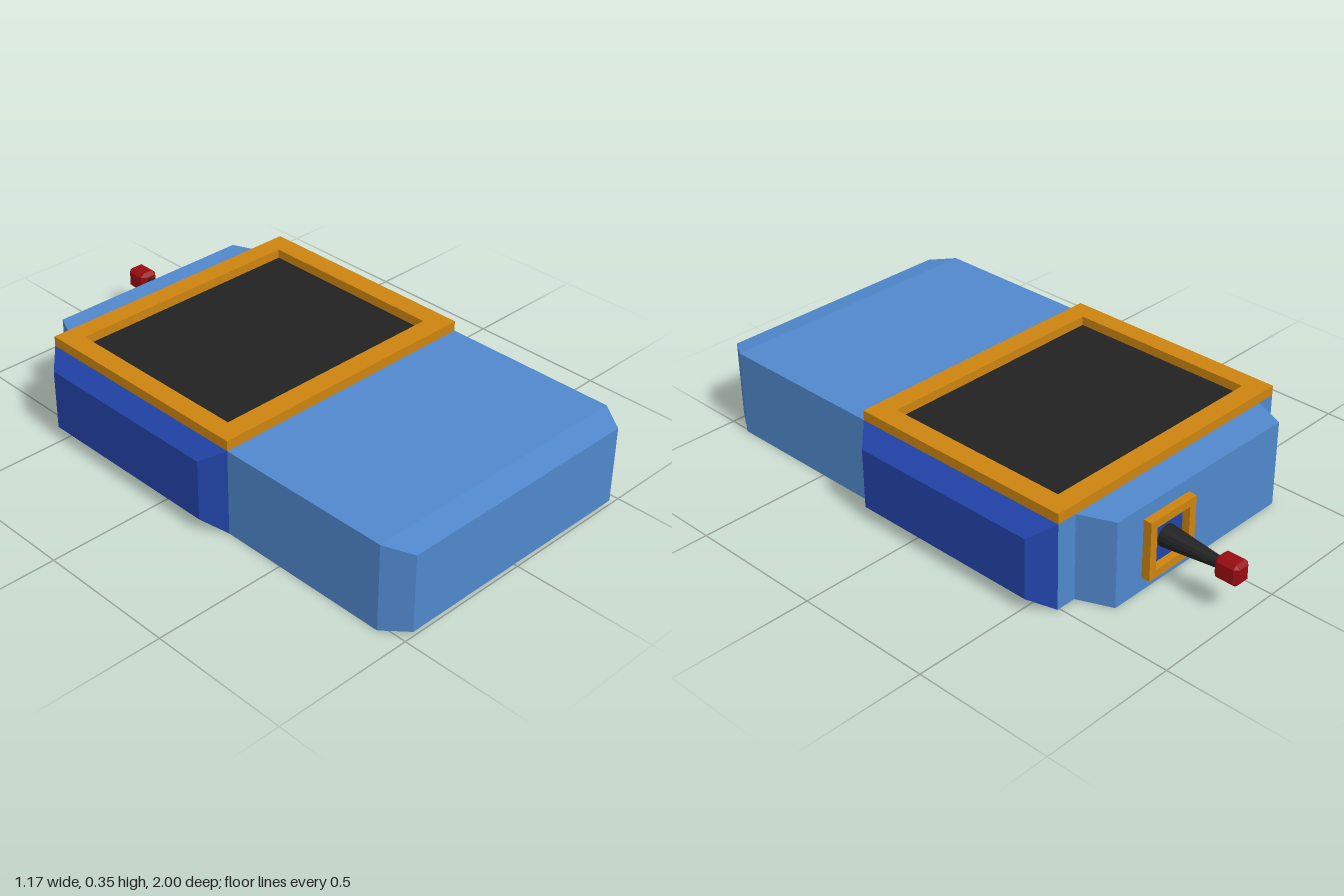
import * as THREE from 'three';
import { ConvexGeometry } from 'three/addons/geometries/ConvexGeometry.js';

const material = (name, color) => {
  const m = new THREE.MeshStandardMaterial({ color });
  m.name = name;
  return m;
};

// Four corners of a rectangle lying across the z axis or across the x axis
const acrossZ = (z, x0, x1, y0, y1) =>
  [[x0, y0], [x1, y0], [x1, y1], [x0, y1]].map(([x, y]) => new THREE.Vector3(x, y, z));
const acrossX = (x, z0, z1, y0, y1) =>
  [[z0, y0], [z1, y0], [z1, y1], [z0, y1]].map(([z, y]) => new THREE.Vector3(x, y, z));

// Solid spanning a list of rectangles
const solid = (...sections) => new ConvexGeometry(sections.flat());

// Rectangular frame in the xy plane, extruded along +z
function frameGeometry([x0, x1, y0, y1], [a0, a1, b0, b1], depth) {
  const points = (l, r, b, t) => [[l, b], [r, b], [r, t], [l, t]].map(p => new THREE.Vector2(...p));
  const shape = new THREE.Shape(points(x0, x1, y0, y1));
  shape.holes.push(new THREE.Path(points(a0, a1, b0, b1).reverse()));
  return new THREE.ExtrudeGeometry(shape, { depth, bevelEnabled: false });
}

// Box with every edge and corner cut off
function chamferedBox(hx, hy, hz, c) {
  const points = [];
  for (const x of [-1, 1]) for (const y of [-1, 1]) for (const z of [-1, 1]) {
    points.push(
      new THREE.Vector3(x * hx, y * (hy - c), z * (hz - c)),
      new THREE.Vector3(x * (hx - c), y * hy, z * (hz - c)),
      new THREE.Vector3(x * (hx - c), y * (hy - c), z * hz));
  }
  return new ConvexGeometry(points);
}

export function createModel() {
  const group = new THREE.Group();
  group.name = 'handheldDevice';
  const lightBlue = material('light blue', 0x5088cc);
  const darkBlue = material('dark blue', 0x2244aa);
  const orange = material('orange', 0xcc8410);
  const black = material('black', 0x222222);
  const red = material('red', 0x990c12);

  const add = (name, geometry, mat, x = 0, y = 0, z = 0) => {
    const mesh = new THREE.Mesh(geometry, mat);
    mesh.name = name;
    mesh.position.set(x, y, z);
    group.add(mesh);
    return mesh;
  };

  const H = 0.312, L = -0.523, R = 0.508;

  // Main case with a bevelled front end
  add('case', solid(
    acrossZ(-0.58, L, R, 0, H),
    acrossZ(0.91, L, R, 0, H),
    acrossZ(1.0, -0.467, 0.452, 0.017, 0.295)), lightBlue);

  // Narrower block at the back
  add('rearBlock', solid(
    acrossZ(-0.57, -0.458, 0.438, 0, H),
    acrossZ(-0.645, -0.4, 0.382, 0, H),
    acrossZ(-0.7, -0.4, 0.382, 0, H)), lightBlue);

  // Tapered grips on both sides
  for (const [name, inner, outer] of [['leftGrip', R, 0.583], ['rightGrip', L, -0.583]]) {
    add(name, solid(
      acrossX(inner, -0.58, 0.272, 0, H),
      acrossX(outer, -0.515, 0.2, 0.047, 0.266)), darkBlue);
  }

  // Raised screen surround and the screen inside it
  const surround = frameGeometry([L, R, -0.272, 0.58], [-0.452, 0.432, -0.197, 0.508], 0.036);
  surround.rotateX(-Math.PI / 2);
  add('screenFrame', surround, orange, 0, H, 0);
  add('screen', new THREE.BoxGeometry(0.884, 0.004, 0.705), black, -0.01, H + 0.001, -0.1555);

  // Socket on the back
  const ax = 0.157, ay = 0.157;
  add('socketFrame', frameGeometry([-0.106, 0.106, -0.107, 0.107], [-0.077, 0.077, -0.078, 0.078], 0.032),
    orange, ax, ay, -0.731);
  add('socketFloor', new THREE.BoxGeometry(0.154, 0.156, 0.004), darkBlue, ax, ay, -0.701);

  // Antenna stem and tip
  const stem = new THREE.CylinderGeometry(0.017, 0.04, 0.23, 16).toNonIndexed();
  stem.rotateX(-Math.PI / 2);
  stem.computeVertexNormals();
  add('antennaStem', stem, black, ax, ay, -0.815);
  add('antennaTip', chamferedBox(0.034, 0.039, 0.045, 0.013), red, ax, ay, -0.955);

  return group;
}
